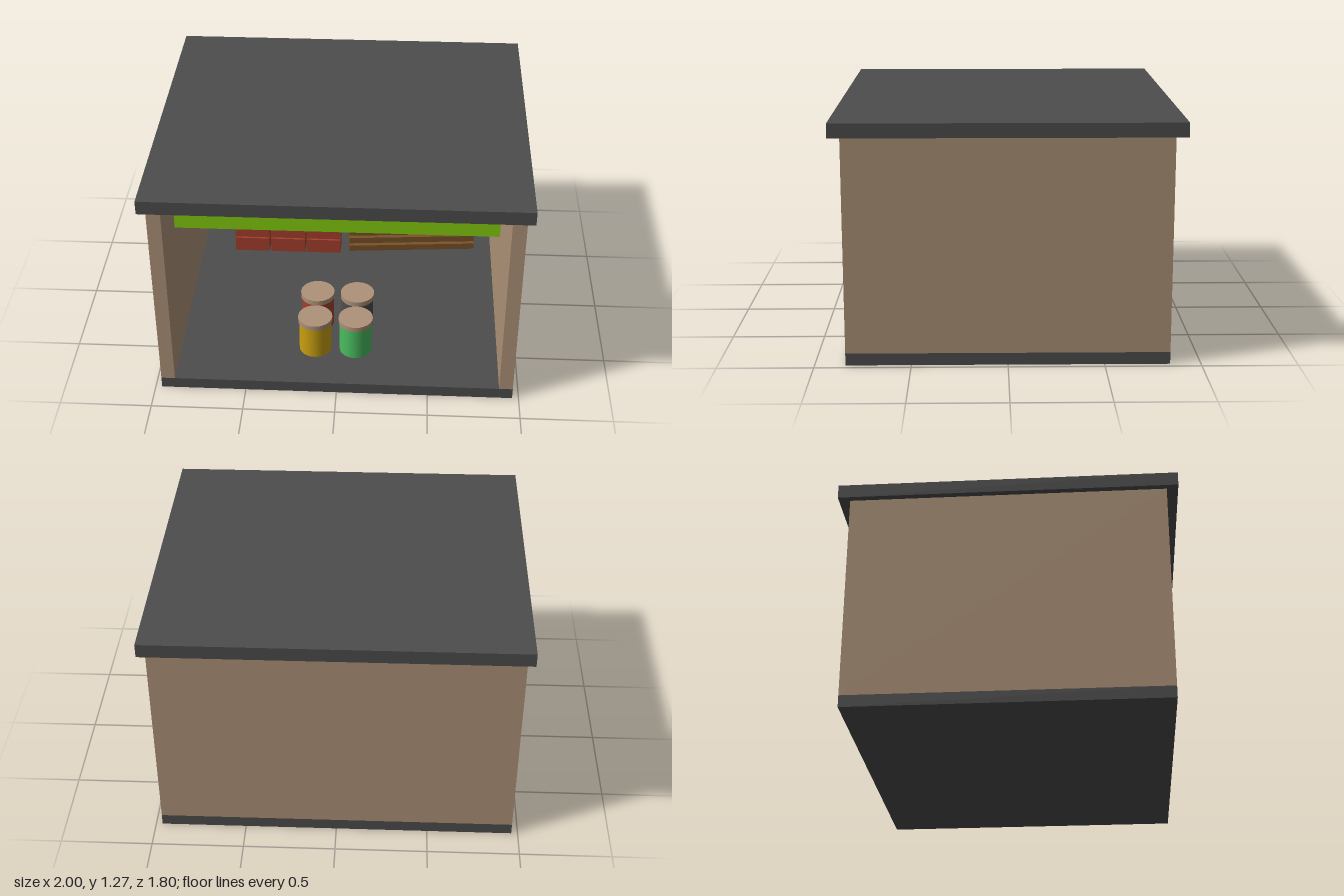
import * as THREE from 'three';

const mat = (name, color) => {
  const m = new THREE.MeshStandardMaterial({ color });
  m.name = name;
  return m;
};

export function createModel() {
  const slate = mat('dark grey', 0x4d4d4d);
  const tan = mat('tan', 0xae9278);
  const lime = mat('lime', 0x84cc0e);
  const brickRed = mat('brick red', 0xa5402d);
  const timber = mat('timber brown', 0x7a5227);
  const yellow = mat('drum yellow', 0xcaa00f);
  const green = mat('drum green', 0x4bbd60);

  const model = new THREE.Group();
  model.name = 'storageShed';

  const box = (parent, name, material, [w, h, d], [x, y, z]) => {
    const mesh = new THREE.Mesh(new THREE.BoxGeometry(w, h, d), material);
    mesh.name = name;
    mesh.position.set(x, y, z);
    parent.add(mesh);
    return mesh;
  };
  const group = (name) => {
    const g = new THREE.Group();
    g.name = name;
    model.add(g);
    return g;
  };

  // Shell: floor slab, three walls, flat overhanging roof
  const floorTop = 0.064, roofBase = 1.197, wallT = 0.075;
  const wallH = roofBase - floorTop, wallY = (roofBase + floorTop) / 2;
  box(model, 'floor', slate, [1.93, floorTop, 1.68], [0, floorTop / 2, 0]);
  for (const s of [1, -1]) {
    box(model, s > 0 ? 'leftWall' : 'rightWall', tan,
      [wallT, wallH, 1.68], [s * (0.965 - wallT / 2), wallY, 0]);
  }
  box(model, 'backWall', tan, [1.93 - 2 * wallT, wallH, wallT], [0, wallY, -0.84 + wallT / 2]);
  box(model, 'roof', slate, [2, 0.075, 1.8], [0, 1.235, 0]);

  // Bright beam across the opening
  box(model, 'headerBeam', lime, [1.675, 0.1, 0.04], [0, 1.07, 0.735]);

  // Brick stack
  const bricks = group('brickStack');
  for (let row = 0; row < 4; row++) {
    for (let col = 0; col < 3; col++) {
      box(bricks, 'brick', brickRed, [0.209, 0.093, 0.14],
        [-0.58 + col * 0.219, 0.135 + row * 0.102, -0.41]);
    }
  }

  // Plank pile, turned slightly
  const planks = group('plankPile');
  planks.position.set(0.39, 0, -0.505);
  planks.rotation.y = 0.08;
  for (let i = 0; i < 5; i++) {
    box(planks, 'plank', timber, [0.767, 0.039, 0.25], [0, 0.118 + i * 0.0573, 0]);
  }

  // Four lidded drums in a square
  const bodyGeo = new THREE.CylinderGeometry(0.09, 0.09, 0.19, 24);
  const lidGeo = new THREE.CylinderGeometry(0.095, 0.095, 0.03, 24);
  [yellow, green, brickRed, slate].forEach((material, i) => {
    const drum = group('drum');
    drum.position.set(i % 2 ? 0.095 : -0.13, 0, i < 2 ? 0.575 : 0.35);
    const body = new THREE.Mesh(bodyGeo, material);
    body.name = 'drumBody';
    body.position.y = 0.195;
    const lid = new THREE.Mesh(lidGeo, tan);
    lid.name = 'drumLid';
    lid.position.y = 0.305;
    drum.add(body, lid);
  });

  return model;
}
